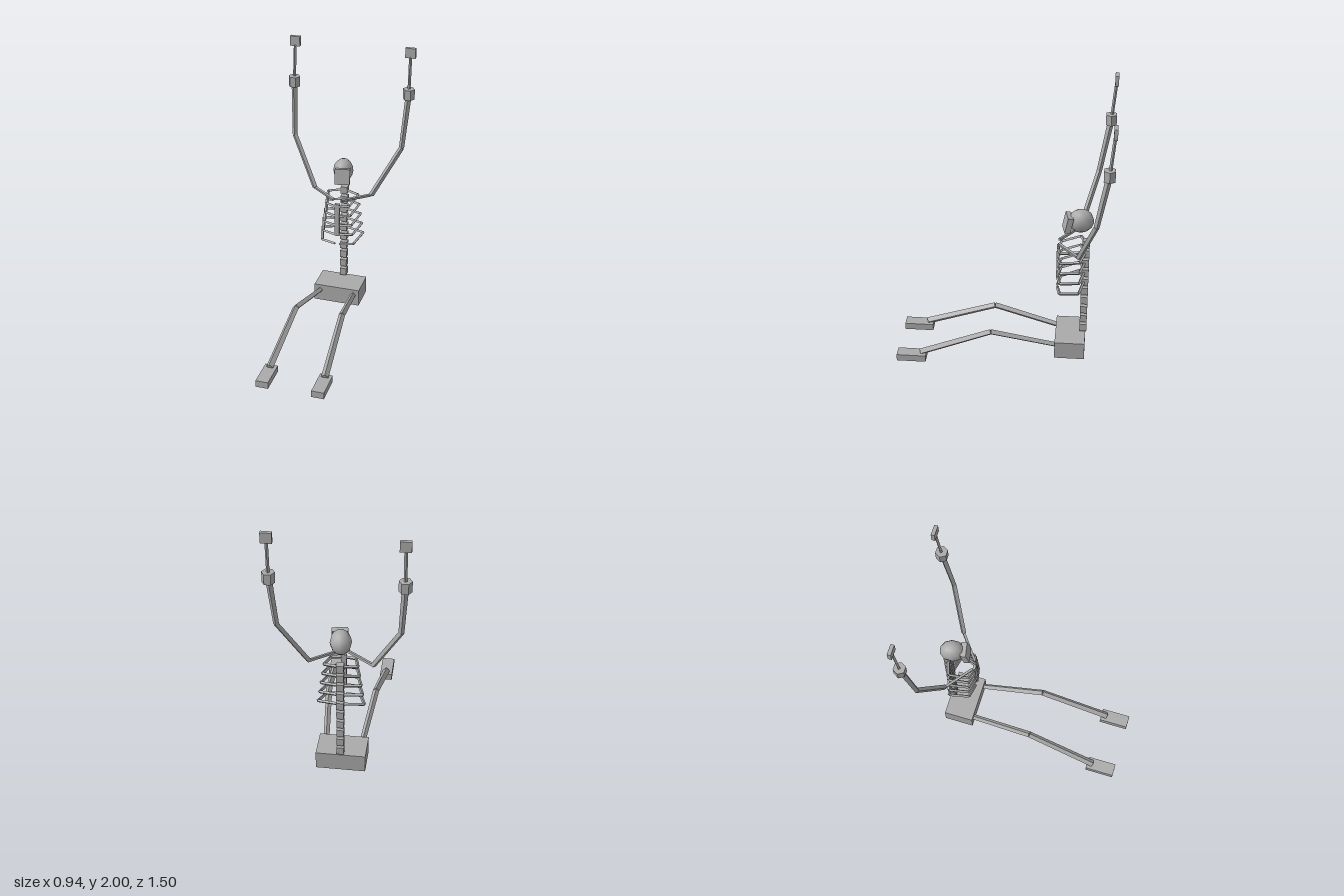
import * as THREE from 'three';

const bone = new THREE.MeshStandardMaterial({ name: 'boneGrey', color: 0xaaaaaa });
const V = (x, y, z) => new THREE.Vector3(x, y, z);

function add(parent, name, geometry, position) {
  // faceted parts get split normals, so their edges stay sharp
  const mesh = new THREE.Mesh(geometry, bone);
  mesh.name = name;
  mesh.position.copy(position);
  parent.add(mesh);
  return mesh;
}

function box(parent, name, w, h, d, x, y, z) {
  return add(parent, name, new THREE.BoxGeometry(w, h, d), V(x, y, z));
}

function faceted(geometry) {
  const g = geometry.toNonIndexed();
  g.computeVertexNormals();
  return g;
}

// four-sided bar between two points
function bar(parent, name, a, b, ra, rb = ra) {
  const dir = b.clone().sub(a);
  const g = faceted(new THREE.CylinderGeometry(rb, ra, dir.length(), 4));
  const mesh = add(parent, name, g, a.clone().add(b).multiplyScalar(0.5));
  mesh.quaternion.setFromUnitVectors(V(0, 1, 0), dir.normalize());
  return mesh;
}

export function createModel() {
  const model = new THREE.Group();
  model.name = 'skeleton';

  // trunk
  box(model, 'pelvis', 0.346, 0.13, 0.214, 0, 0.11, -0.488);
  const vertebraY = i => 0.215 + i * 0.0772;
  for (let i = 0; i < 10; i++) box(model, 'vertebra', 0.05, 0.056, 0.05, 0, vertebraY(i), -0.578);
  box(model, 'sternum', 0.036, 0.26, 0.02, 0, 0.752, -0.385);

  // head with a tilted face block
  const head = new THREE.Group();
  head.name = 'head';
  head.position.set(0, 1.088, -0.537);
  head.rotation.set(-0.2, 0.2, 0, 'YXZ');
  model.add(head);
  add(head, 'skull', new THREE.SphereGeometry(1, 10, 8), V(0, 0, 0)).scale.set(0.073, 0.085, 0.09);
  box(head, 'face', 0.11, 0.115, 0.04, 0, -0.028, 0.088);

  for (const s of [1, -1]) {
    // ribs: back, side and front bars, wider toward the bottom
    for (let i = 0; i < 5; i++) {
      const y = vertebraY(i + 5);
      const w = 0.158 - i * 0.011;
      const path = [
        V(s * 0.015, y, -0.57),
        V(s * w, y - 0.01, -0.54),
        V(s * w * 0.75, y - 0.043, -0.405),
        V(s * 0.015, y - 0.05, -0.385),
      ];
      for (let k = 0; k < 3; k++) bar(model, 'rib', path[k], path[k + 1], 0.011);
    }

    // arm
    const shoulder = V(s * 0.215, 0.917, -0.532);
    const elbow = V(s * 0.403, 1.27, -0.645);
    const wrist = V(s * 0.427, 1.665, -0.714);
    const hand = V(s * 0.425, 1.963, -0.74);
    bar(model, 'collarbone', V(s * 0.03, 0.912, -0.39), shoulder, 0.012);
    bar(model, 'upperArm', shoulder, elbow, 0.019);
    bar(model, 'forearm', elbow, wrist, 0.019, 0.022);
    bar(model, 'handBone', wrist, hand, 0.011);
    const cuff = faceted(new THREE.CylinderGeometry(0.043, 0.043, 0.075, 6, 1, false, Math.PI / 2));
    add(model, 'wrist', cuff, wrist);
    box(model, 'hand', 0.074, 0.073, 0.025, hand.x, hand.y, hand.z);

    // leg
    const hip = V(s * 0.118, 0.105, -0.49);
    const knee = V(s * 0.173, 0.242, 0.075);
    const ankle = V(s * 0.2, 0.057, 0.582);
    bar(model, 'thigh', hip, knee, 0.02, 0.023);
    bar(model, 'shin', knee, ankle, 0.023, 0.026);
    box(model, 'foot', 0.09, 0.05, 0.21, s * 0.2, 0.025, 0.647);
  }
  return model;
}
